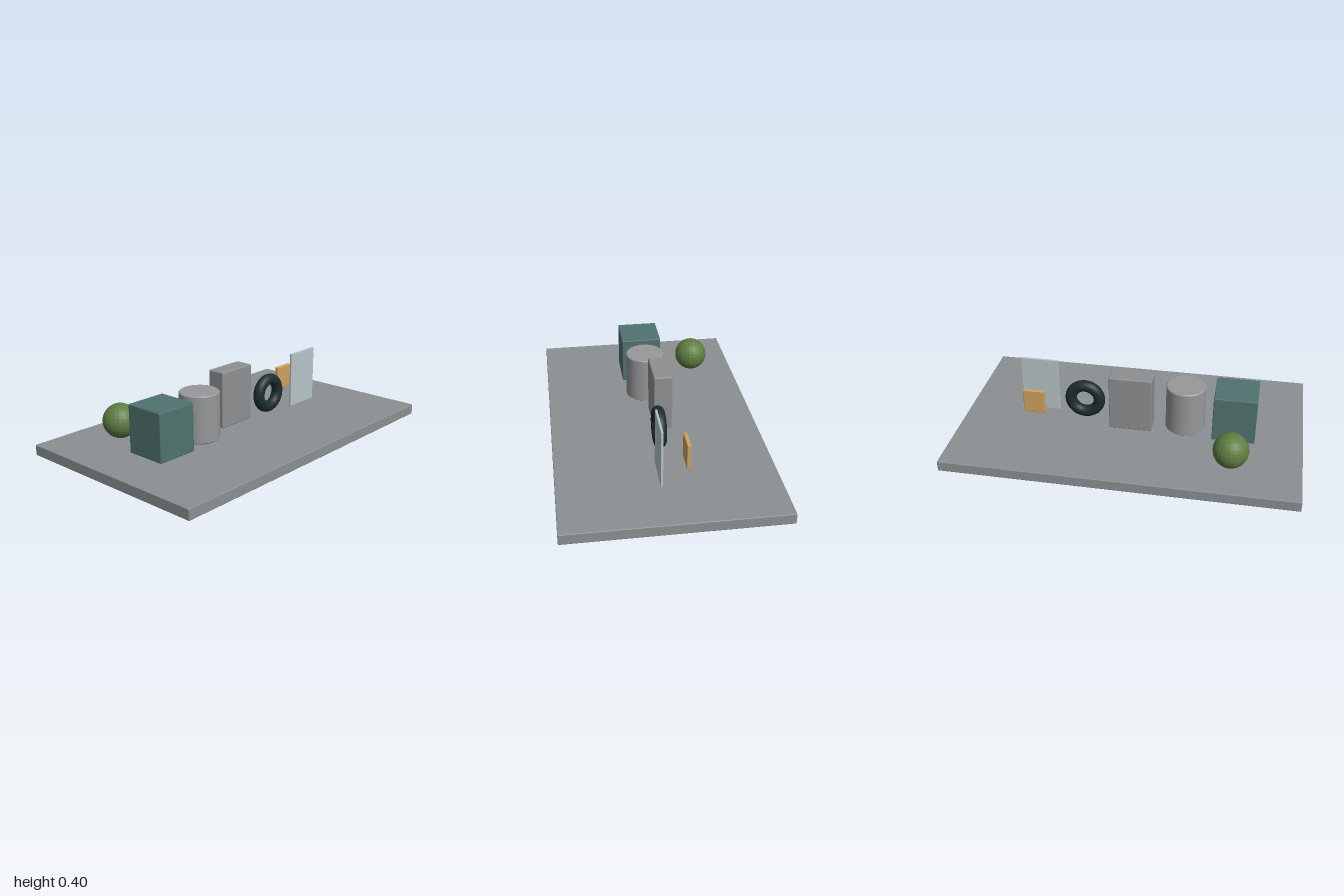
import * as THREE from 'three';
import { RoundedBoxGeometry } from 'three/addons/geometries/RoundedBoxGeometry.js';

const material = (name, color, flatShading = false) => {
  const m = new THREE.MeshStandardMaterial({ color, flatShading });
  m.name = name;
  return m;
};

export function createModel() {
  const group = new THREE.Group();
  const mats = {
    base: material('base grey', 0x8c9092),
    teal: material('muted teal', 0x50736f),
    steel: material('steel grey', 0x96989a),
    stone: material('stone grey', 0x8f9092),
    rubber: material('dark rubber', 0x1d2c2d),
    glass: material('pale blue grey', 0xb7c5c8),
    wood: material('light wood', 0xd0a25e),
    moss: material('moss green', 0x5e7d42, true),
  };

  const add = (name, geometry, mat, x, y, z) => {
    const mesh = new THREE.Mesh(geometry, mat);
    mesh.name = name;
    mesh.position.set(x, y, z);
    group.add(mesh);
  };
  // Softly bevelled block given by its extents
  const block = (name, mat, [x0, x1], [y0, y1], [z0, z1], bevel) => add(
    name, new RoundedBoxGeometry(x1 - x0, y1 - y0, z1 - z0, 2, bevel), mat,
    (x0 + x1) / 2, (y0 + y1) / 2, (z0 + z1) / 2);

  block('basePlate', mats.base, [-1, 1], [0, 0.062], [-0.6, 0.6], 0.005);
  block('tealBlock', mats.teal, [-0.726, -0.48], [0.062, 0.34], [-0.121, 0.121], 0.005);
  block('greyBlock', mats.stone, [-0.126, 0.124], [0.062, 0.4], [-0.103, 0.005], 0.007);
  block('thinPanel', mats.glass, [0.455, 0.681], [0.062, 0.4], [0.034, 0.047], 0.002);
  block('woodTile', mats.wood, [0.503, 0.632], [0.128, 0.275], [-0.121, -0.099], 0.005);

  // Drum with bevelled rims; repeated points keep the edges sharp
  const r = 0.115, h = 0.278, b = 0.006;
  const profile = [
    [0, 0], [r - b, 0], [r - b, 0], [r, b], [r, b],
    [r, h - b], [r, h - b], [r - b, h], [r - b, h], [0, h],
  ].map(([x, y]) => new THREE.Vector2(x, y));
  add('drum', new THREE.LatheGeometry(profile, 48), mats.steel, -0.312, 0.062, 0);

  // Upright ring and faceted ball
  add('ring', new THREE.TorusGeometry(0.086, 0.034, 20, 48), mats.rubber, 0.288, 0.182, 0);
  add('ball', new THREE.SphereGeometry(0.1, 24, 16), mats.moss, -0.603, 0.161, -0.34);

  return group;
}
